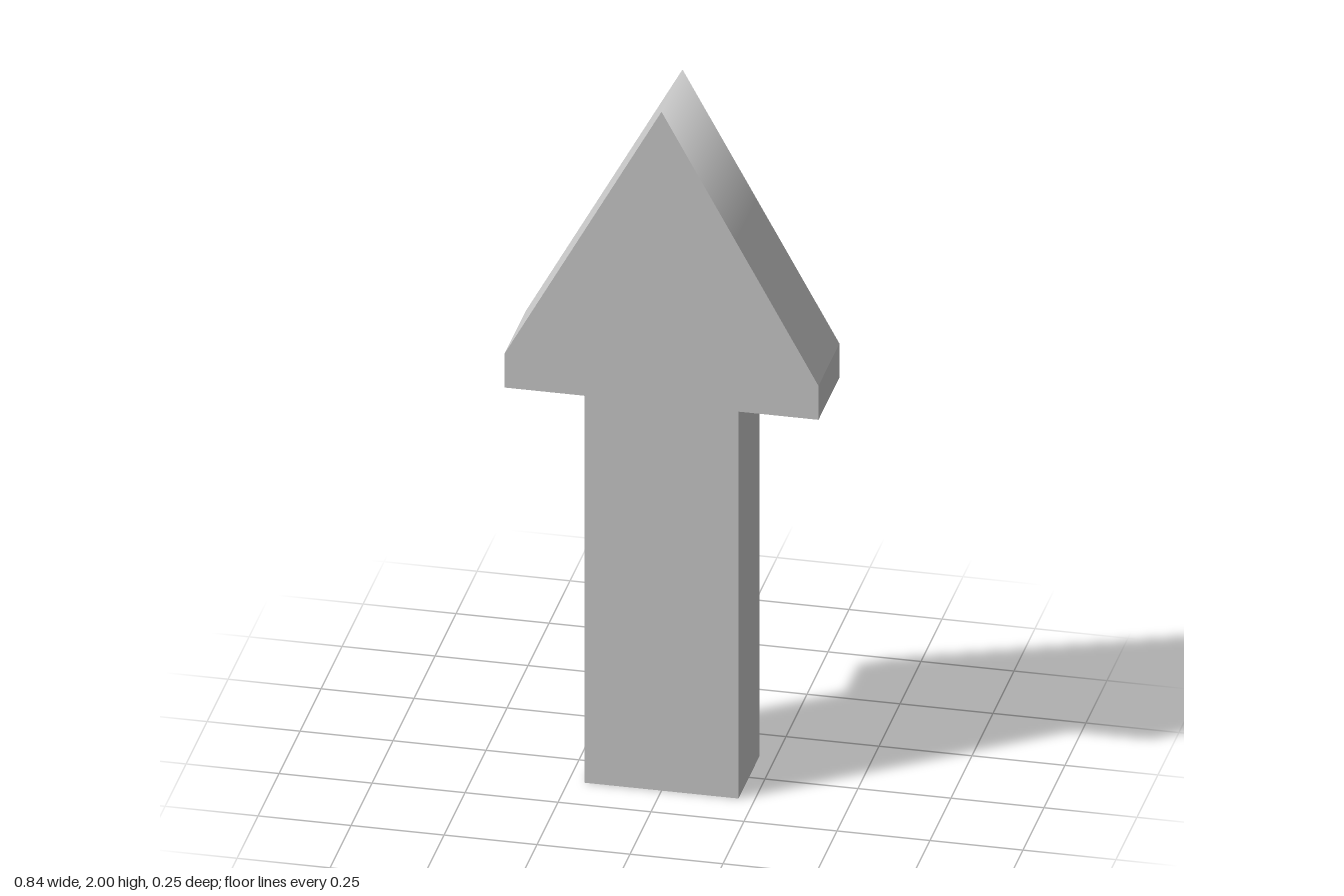
import * as THREE from 'three';

const DEPTH = 0.25;

export function createModel() {
  const group = new THREE.Group();
  group.name = 'arrow';

  // Right half of the outline, from the foot up; mirrored for the left half
  const half = [[0.207, 0], [0.207, 1.14], [0.422, 1.14], [0.422, 1.24], [0.2, 1.64]];
  const outline = [
    ...half,
    [0, 2],
    ...half.map(([x, y]) => [-x, y]).reverse(),
  ].map(([x, y]) => new THREE.Vector2(x, y));

  const geometry = new THREE.ExtrudeGeometry(new THREE.Shape(outline), {
    depth: DEPTH,
    bevelEnabled: false,
  });
  geometry.translate(0, 0, -DEPTH / 2);

  // Blend the shading of the two slopes over the ridge at the tip
  const { position, normal } = geometry.attributes;
  for (let i = 0; i < position.count; i++) {
    if (position.getY(i) > 1.99 && Math.abs(normal.getZ(i)) < 0.5) normal.setXYZ(i, 0, 1, 0);
  }

  // Shaft and pointed head are one solid plate
  const arrow = new THREE.Mesh(geometry, new THREE.MeshStandardMaterial({ color: 0xcccccc }));
  arrow.name = 'arrowBody';
  group.add(arrow);
  return group;
}
